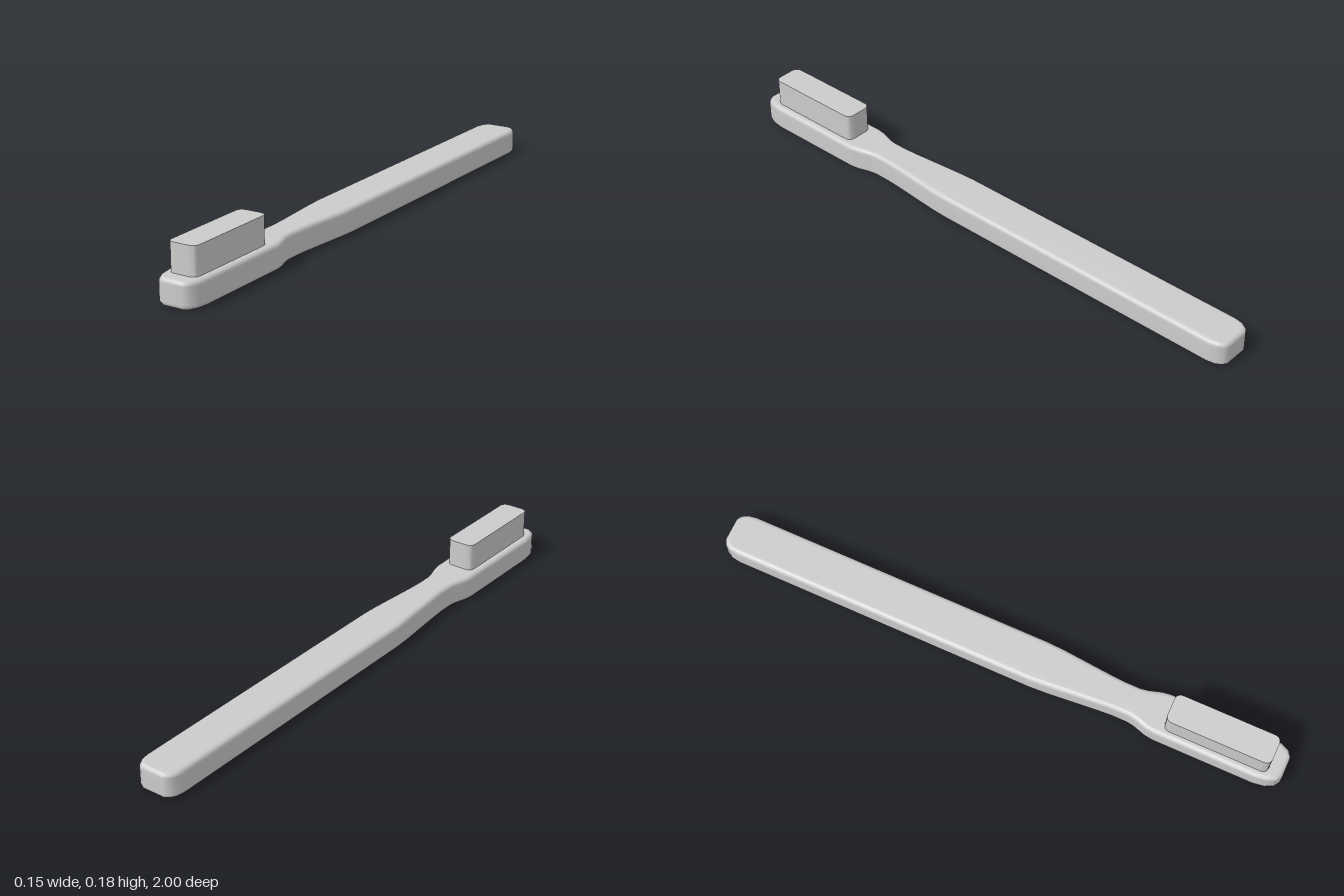
import * as THREE from 'three';
import { mergeVertices, toCreasedNormals } from 'three/addons/utils/BufferGeometryUtils.js';

const material = new THREE.MeshStandardMaterial({ color: 0xcccccc });

// Right half of the body outline as [half width, z], back to front
const OUTLINE = [
  [0.04, -1], [0.057, -0.99], [0.069, -0.97], [0.074, -0.94],
  [0.074, 0.13], [0.071, 0.19], [0.055, 0.37], [0.052, 0.42],
  [0.052, 0.47], [0.056, 0.495], [0.07, 0.54], [0.074, 0.57],
  [0.074, 0.92], [0.068, 0.96], [0.055, 0.987], [0.035, 1],
];

// Extrudes a shape drawn in x/z so that it stands between two heights
function upright(shape, bottom, top, bevel = 0) {
  const geometry = new THREE.ExtrudeGeometry(shape, {
    depth: top - bottom - 2 * bevel,
    bevelEnabled: bevel > 0,
    bevelSize: bevel,
    bevelThickness: bevel,
    bevelOffset: -bevel,
    bevelSegments: 4,
    curveSegments: 6,
  });
  return geometry.rotateX(Math.PI / 2).translate(0, top - bevel, 0);
}

function smooth(geometry) {
  geometry.deleteAttribute('normal');
  geometry.deleteAttribute('uv');
  const merged = mergeVertices(geometry, 1e-5);
  merged.computeVertexNormals();
  return merged;
}

function roundedRect(x, z0, z1, r) {
  const s = new THREE.Shape();
  s.moveTo(x, z0 + r);
  s.lineTo(x, z1 - r);
  s.quadraticCurveTo(x, z1, x - r, z1);
  s.lineTo(-x + r, z1);
  s.quadraticCurveTo(-x, z1, -x, z1 - r);
  s.lineTo(-x, z0 + r);
  s.quadraticCurveTo(-x, z0, -x + r, z0);
  s.lineTo(x - r, z0);
  s.quadraticCurveTo(x, z0, x, z0 + r);
  return s;
}

export function createModel() {
  const group = new THREE.Group();
  group.name = 'toothbrush';

  // Handle, neck and head in one softly bevelled piece
  const half = OUTLINE.map(([x, z]) => new THREE.Vector2(x, z));
  const mirrored = OUTLINE.map(([x, z]) => new THREE.Vector2(-x, z)).reverse();
  const body = new THREE.Mesh(
    smooth(upright(new THREE.Shape([...half, ...mirrored]), 0, 0.088, 0.015)), material);
  body.name = 'handleAndHead';
  group.add(body);

  // Bristle block with rounded corners and a sharp top edge
  const bristles = new THREE.Mesh(
    toCreasedNormals(upright(roundedRect(0.05, 0.59, 0.95, 0.025), 0.08, 0.183), 0.7), material);
  bristles.name = 'bristles';
  group.add(bristles);

  return group;
}
